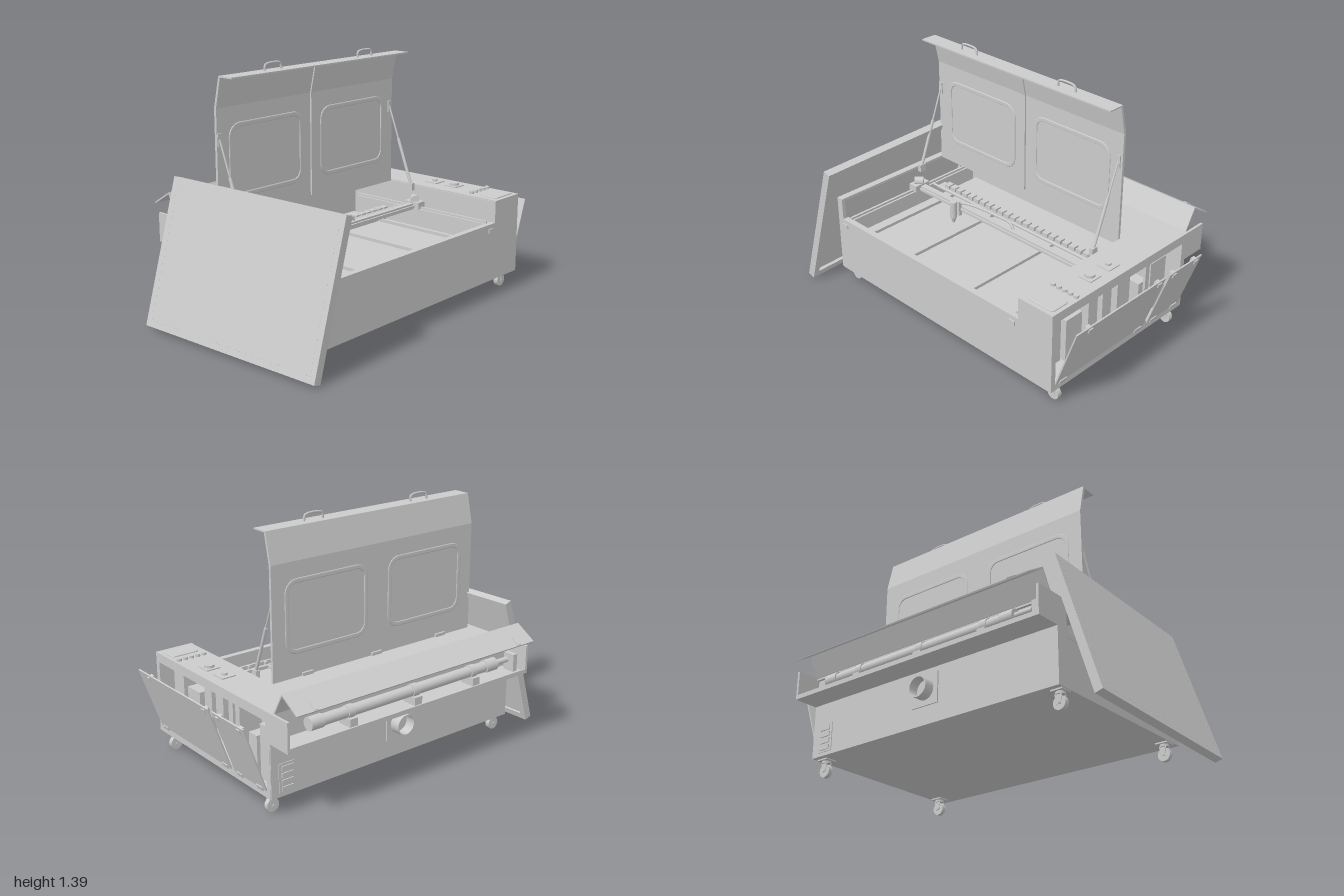
import * as THREE from 'three';
import { mergeGeometries } from 'three/addons/utils/BufferGeometryUtils.js';

const mat = new THREE.MeshStandardMaterial({ color: 0xcccccc, side: THREE.DoubleSide });

export function createModel() {
  const model = new THREE.Group();
  model.name = 'cuttingMachine';

  function add(name, geo, parent = model) {
    const m = new THREE.Mesh(geo, mat);
    m.name = name;
    parent.add(m);
    return m;
  }
  function group(name, parent = model) {
    const g = new THREE.Group();
    g.name = name;
    parent.add(g);
    return g;
  }
  // Box given by its extents
  function box(name, x0, x1, y0, y1, z0, z1, parent) {
    const m = add(name, new THREE.BoxGeometry(x1 - x0, y1 - y0, z1 - z0), parent);
    m.position.set((x0 + x1) / 2, (y0 + y1) / 2, (z0 + z1) / 2);
    return m;
  }
  // Cylinder between two points
  function rod(name, a, b, r, parent, r2 = r, sides = 20) {
    const A = new THREE.Vector3(...a), B = new THREE.Vector3(...b);
    const d = B.clone().sub(A);
    const m = add(name, new THREE.CylinderGeometry(r2, r, d.length(), sides), parent);
    m.position.copy(A).add(B).multiplyScalar(0.5);
    m.quaternion.setFromUnitVectors(new THREE.Vector3(0, 1, 0), d.normalize());
    return m;
  }
  const poly = pts => new THREE.Shape(pts.map(p => new THREE.Vector2(...p)));
  function rect(x0, x1, y0, y1) {
    return poly([[x0, y0], [x1, y0], [x1, y1], [x0, y1]]);
  }
  function roundRect(w, h, r) {
    const s = new THREE.Shape();
    s.absarc(w / 2 - r, h / 2 - r, r, 0, Math.PI / 2);
    s.absarc(r - w / 2, h / 2 - r, r, Math.PI / 2, Math.PI);
    s.absarc(r - w / 2, r - h / 2, r, Math.PI, Math.PI * 1.5);
    s.absarc(w / 2 - r, r - h / 2, r, Math.PI * 1.5, Math.PI * 2);
    s.closePath();
    return s;
  }
  // XY shape extruded from z0 to z1
  function prism(name, shape, z0, z1, parent) {
    const m = add(name, new THREE.ExtrudeGeometry(shape, { depth: z1 - z0, bevelEnabled: false, curveSegments: 8 }), parent);
    m.position.z = z0;
    return m;
  }

  // Cabinet shell
  const body = group('cabinet');
  box('floor', -0.49, 0.57, 0.1, 0.115, -0.875, 0.77, body);
  box('tubeSideWall', -0.495, -0.48, 0.1, 0.56, -0.875, 0.77, body);
  box('partition', -0.48, 0.56, 0.11, 0.555, -0.665, -0.65, body);
  box('topRear', -0.51, 0.57, 0.55, 0.562, -0.875, -0.655, body);
  box('topSide', -0.51, -0.21, 0.55, 0.562, -0.655, 0.77, body);
  box('topFront', -0.21, 0.57, 0.55, 0.562, 0.73, 0.77, body);
  // Loading side wall with its lowered sill (drawn in -z, y)
  const sill = prism('sillWall', poly([[-0.77, 0.1], [0.875, 0.1], [0.875, 0.56], [0.65, 0.56], [0.65, 0.43],
    [-0.73, 0.43], [-0.73, 0.56], [-0.77, 0.56]]), 0, 0.014, body);
  sill.rotation.y = Math.PI / 2;
  sill.position.x = 0.556;
  box('sillLip', 0.535, 0.57, 0.425, 0.435, -0.65, 0.73, body);
  // End walls carry the end plates of the tube bay
  const endOutline = () => poly([[-0.49, 0.1], [0.57, 0.1], [0.57, 0.562], [-0.64, 0.562], [-0.64, 0.4], [-0.49, 0.4]]);
  const front = endOutline();
  front.holes.push(rect(-0.42, 0.53, 0.36, 0.53));
  prism('frontWall', front, 0.756, 0.77, body);
  const rear = endOutline();
  rear.holes.push(rect(-0.46, -0.18, 0.15, 0.51), rect(-0.15, 0.54, 0.15, 0.51));
  prism('rearWall', rear, -0.877, -0.863, body);
  for (const z of [-0.61, 0.71]) box('sideLatch', 0.57, 0.577, 0.385, 0.41, z - 0.02, z + 0.02, body);

  // Tube bay: shelf, tube, clamps and raised L-shaped cover
  const bay = group('tubeBay');
  box('shelf', -0.64, -0.49, 0.4, 0.41, -0.87, 0.765, bay);
  box('shelfLip', -0.64, -0.632, 0.4, 0.425, -0.87, 0.765, bay);
  rod('tube', [-0.565, 0.48, -0.62], [-0.565, 0.48, 0.5], 0.03, bay, 0.03, 28);
  for (const z of [-0.66, 0.54]) rod('tubeCap', [-0.565, 0.48, z - 0.04], [-0.565, 0.48, z + 0.04], 0.036, bay);
  rod('tubeTip', [-0.565, 0.48, 0.55], [-0.565, 0.48, 0.68], 0.016, bay);
  for (const z of [-0.45, -0.02, 0.4]) {
    box('clampBase', -0.61, -0.52, 0.41, 0.455, z - 0.025, z + 0.025, bay);
    rod('clampRing', [-0.565, 0.48, z - 0.02], [-0.565, 0.48, z + 0.02], 0.035, bay);
  }
  box('mirrorMount', -0.6, -0.53, 0.41, 0.51, 0.7, 0.73, bay);
  prism('tubeCover', poly([[-0.507, 0.562], [-0.575, 0.682], [-0.695, 0.608], [-0.691, 0.601], [-0.577, 0.671],
    [-0.515, 0.56]]), -0.86, 0.75, bay);
  for (const z of [-0.745, 0.635]) {
    const latch = box('coverLatch', -0.025, 0.025, 0, 0.012, -0.012, 0.012, bay);
    latch.position.set(-0.67, 0.622, z);
    latch.rotation.z = 0.55;
  }

  // Exhaust duct and socket panel on the tube side
  const duct = group('exhaust');
  box('ductFlange', -0.502, -0.49, 0.2, 0.37, -0.14, 0.03, duct);
  const ring = new THREE.Shape().absarc(0, 0, 0.058, 0, Math.PI * 2);
  ring.holes.push(new THREE.Path().absarc(0, 0, 0.052, 0, Math.PI * 2));
  const pipe = add('ductPipe', new THREE.ExtrudeGeometry(ring, { depth: 0.06, bevelEnabled: false, curveSegments: 24 }), duct);
  pipe.rotation.y = -Math.PI / 2;
  pipe.position.set(-0.5, 0.288, -0.055);
  const sockets = group('socketPanel');
  box('socketPlate', -0.499, -0.49, 0.12, 0.28, -0.83, -0.73, sockets);
  for (let i = 0; i < 4; i++) box('socket', -0.505, -0.495, 0.13 + i * 0.037, 0.155 + i * 0.037, -0.815, -0.745, sockets);

  // Main lid: bent sheet, centre rib, embossed fields, handles, hinges, struts
  const lid = group('lid');
  prism('lidSheet', poly([[-0.21, 0.555], [-0.195, 0.555], [-0.195, 1.178], [-0.16, 1.338], [-0.075, 1.338],
    [-0.075, 1.346], [-0.172, 1.346], [-0.21, 1.18]]), -0.65, 0.73, lid);
  box('lidRib', -0.196, -0.186, 0.6, 1.18, 0.03, 0.05, lid);
  const upperRib = box('lidRibUpper', -0.005, 0.005, -0.08, 0.08, -0.01, 0.01, lid);
  upperRib.position.set(-0.174, 1.258, 0.04);
  upperRib.rotation.z = -0.215;
  for (const z of [0.38, -0.3]) {
    const frame = roundRect(0.53, 0.39, 0.07);
    frame.holes.push(roundRect(0.5, 0.36, 0.055));
    const emboss = add('lidEmboss', new THREE.ExtrudeGeometry(frame, {
      depth: 0.018, bevelThickness: 0.003, bevelSize: 0.005, bevelSegments: 2, curveSegments: 8 }), lid);
    emboss.rotation.y = Math.PI / 2;
    emboss.position.set(-0.211, 0.89, z);
  }
  for (const z of [0.397, -0.32]) {
    const path = new THREE.CatmullRomCurve3([[-0.06, 1.345], [-0.055, 1.375], [-0.04, 1.383], [0.04, 1.383],
      [0.055, 1.375], [0.06, 1.345]].map(p => new THREE.Vector3(-0.125, p[1], z + p[0])));
    add('lidHandle', new THREE.TubeGeometry(path, 30, 0.006, 8), lid);
  }
  for (const z of [-0.435, 0.03, 0.5]) box('lidHinge', -0.222, -0.2, 0.555, 0.58, z - 0.035, z + 0.035, lid);
  for (const z of [-0.625, 0.715]) {
    box('strutBracket', -0.205, -0.188, 0.98, 1.05, z - 0.012, z + 0.012, lid);
    rod('strutRod', [-0.192, 1.02, z], [-0.105, 0.79, z], 0.005, lid);
    rod('strutBody', [-0.12, 0.83, z], [-0.02, 0.565, z], 0.009, lid);
    box('strutFoot', -0.04, 0.0, 0.53, 0.575, z - 0.012, z + 0.012, lid);
  }

  // Controls on the rear deck
  const controls = group('controls');
  for (const x of [0.042, 0.186]) box('switchPlate', x - 0.042, x + 0.042, 0.56, 0.568, -0.82, -0.736, controls);
  rod('keySwitch', [0.042, 0.565, -0.778], [0.042, 0.58, -0.778], 0.016, controls);
  rod('stopButton', [0.186, 0.565, -0.778], [0.186, 0.582, -0.778], 0.028, controls);
  for (let i = 0; i < 5; i++) {
    const z = -0.85 + i * 0.038;
    rod('roundButton', [0.37, 0.56, z], [0.37, 0.577, z], 0.014, controls);
  }
  const display = add('display', new THREE.ExtrudeGeometry(roundRect(0.11, 0.16, 0.015), {
    depth: 0.004, bevelThickness: 0.003, bevelSize: 0.003, bevelSegments: 1 }), controls);
  display.rotation.x = -Math.PI / 2;
  display.position.set(0.488, 0.562, -0.772);

  // Work bed
  const bed = group('workBed');
  box('bedPlate', -0.45, 0.5, 0.31, 0.325, -0.6, 0.7, bed);
  for (const z of [-0.535, -0.195, 0.28, 0.625]) box('bedCrossbar', -0.2, 0.5, 0.325, 0.343, z - 0.008, z + 0.008, bed);
  for (const x of [-0.2, 0.49]) box('bedRail', x - 0.01, x + 0.01, 0.325, 0.345, -0.6, 0.7, bed);
  box('toothRail', 0.515, 0.53, 0.32, 0.36, -0.6, 0.7, bed);
  for (let i = 0; i < 22; i++) box('tooth', 0.498, 0.516, 0.34, 0.36, -0.55 + i * 0.057, -0.538 + i * 0.057, bed);

  // Motion system: two side rails, gantry beam, head and cable chain
  const gantry = group('gantry');
  for (const z of [-0.61, 0.695]) {
    box('sideRail', -0.42, 0.54, 0.41, 0.435, z - 0.018, z + 0.018, gantry);
    box('sideRailTop', -0.42, 0.54, 0.435, 0.447, z - 0.007, z + 0.007, gantry);
    box('carriage', -0.03, 0.075, 0.435, 0.475, z - 0.03, z + 0.03, gantry);
    rod('mirrorHolder', [0.005, 0.485, z - 0.02], [0.04, 0.485, z + 0.02], 0.025, gantry);
  }
  box('beam', 0.0, 0.035, 0.43, 0.465, -0.64, 0.72, gantry);
  box('beamRail', 0.035, 0.045, 0.442, 0.454, -0.62, 0.7, gantry);
  box('headPlate', 0.035, 0.055, 0.41, 0.5, 0.315, 0.375, gantry);
  rod('headBarrel', [0.072, 0.4, 0.345], [0.072, 0.5, 0.345], 0.02, gantry);
  rod('headNozzle', [0.072, 0.365, 0.345], [0.072, 0.4, 0.345], 0.006, gantry, 0.018);
  const hose = new THREE.CatmullRomCurve3([[0.05, 0.49, 0.345], [0.02, 0.495, 0.25], [0.01, 0.5, 0.05],
    [0.01, 0.495, -0.05], [0.015, 0.465, -0.08]].map(p => new THREE.Vector3(...p)));
  add('headHose', new THREE.TubeGeometry(hose, 30, 0.008, 8), gantry);
  for (let i = 0; i < 24; i++) box('chainLink', -0.17, -0.13, 0.4, 0.425, -0.55 + i * 0.05, -0.512 + i * 0.05, gantry);
  box('chainTray', -0.18, -0.12, 0.385, 0.4, -0.6, 0.7, gantry);
  rod('driveShaft', [-0.08, 0.43, -0.6], [-0.08, 0.43, 0.69], 0.007, gantry);

  // Electronics behind the service doors
  const parts = group('electronics');
  for (const [x0, x1, y0, y1] of [[-0.43, -0.3, 0.12, 0.42], [-0.27, -0.2, 0.12, 0.34], [-0.12, -0.02, 0.15, 0.46],
    [0.03, 0.1, 0.2, 0.47], [0.14, 0.21, 0.2, 0.47], [0.26, 0.38, 0.15, 0.4], [0.42, 0.52, 0.18, 0.46]]) {
    box('module', x0, x1, y0, y1, -0.8, -0.665, parts);
  }

  // Service doors, hinged low and hanging open
  for (const [x0, x1] of [[-0.46, -0.185], [-0.15, 0.54]]) {
    const door = group('serviceDoor');
    door.position.set(0, 0.14, -0.873);
    door.rotation.x = -0.334;
    box('doorSheet', x0, x1, 0, 0.383, -0.008, 0, door);
    for (const x of [x0 + 0.045, x1 - 0.045 - (x1 > 0 ? 0.06 : 0)]) {
      box('doorLatch', x - 0.014, x + 0.014, 0.345, 0.37, -0.014, 0.018, door);
    }
    for (const x of [x0 + 0.05, x1 - 0.05]) box('doorHinge', x - 0.025, x + 0.025, -0.008, 0.015, -0.013, 0.004, door);
  }

  // Loose tray-shaped panel leaning on the front
  const panel = group('leaningPanel');
  panel.rotation.set(-0.296, 0.04, 0, 'YXZ');
  panel.position.set(0.1, 0.022, 0.977);
  box('panelFace', -0.59, 0.59, 0, 0.8, -0.008, 0, panel);
  const rim = rect(-0.59, 0.59, 0, 0.8);
  rim.holes.push(rect(-0.582, 0.582, 0.008, 0.792));
  prism('panelRim', rim, -0.045, -0.008, panel);
  const lip = rect(-0.59, 0.59, 0, 0.8);
  lip.holes.push(rect(-0.555, 0.555, 0.035, 0.765));
  prism('panelLip', lip, -0.045, -0.039, panel);
  const dots = [];
  const dot = (x, y) => dots.push(new THREE.BoxGeometry(0.006, 0.006, 0.002).translate(x, y, 0));
  for (let i = 0; i <= 50; i++) dot(-0.555 + i * 0.0222, 0.035);
  for (let i = 1; i <= 34; i++) for (const x of [-0.555, 0.555]) dot(x, 0.035 + i * 0.0215);
  add('panelRivets', mergeGeometries(dots), panel);

  // Swivel casters
  for (const x of [-0.43, 0.49]) for (const z of [0.73, -0.83]) {
    const c = group('caster');
    c.position.set(x, 0, z);
    box('casterPlate', -0.035, 0.035, 0.092, 0.101, -0.035, 0.035, c);
    rod('casterSwivel', [0, 0.078, 0], [0, 0.095, 0], 0.025, c);
    for (const s of [-1, 1]) {
      const fork = prism('casterFork', poly([[-0.02, 0.082], [0.022, 0.082], [0.012, 0.03], [-0.012, 0.03]]), -0.0015, 0.0015, c);
      fork.rotation.y = Math.PI / 2;
      fork.position.x = s * 0.017;
    }
    rod('casterWheel', [-0.013, 0.037, 0], [0.013, 0.037, 0], 0.036, c, 0.036, 28);
    rod('casterAxle', [-0.021, 0.037, 0], [0.021, 0.037, 0], 0.007, c);
  }
  return model;
}
